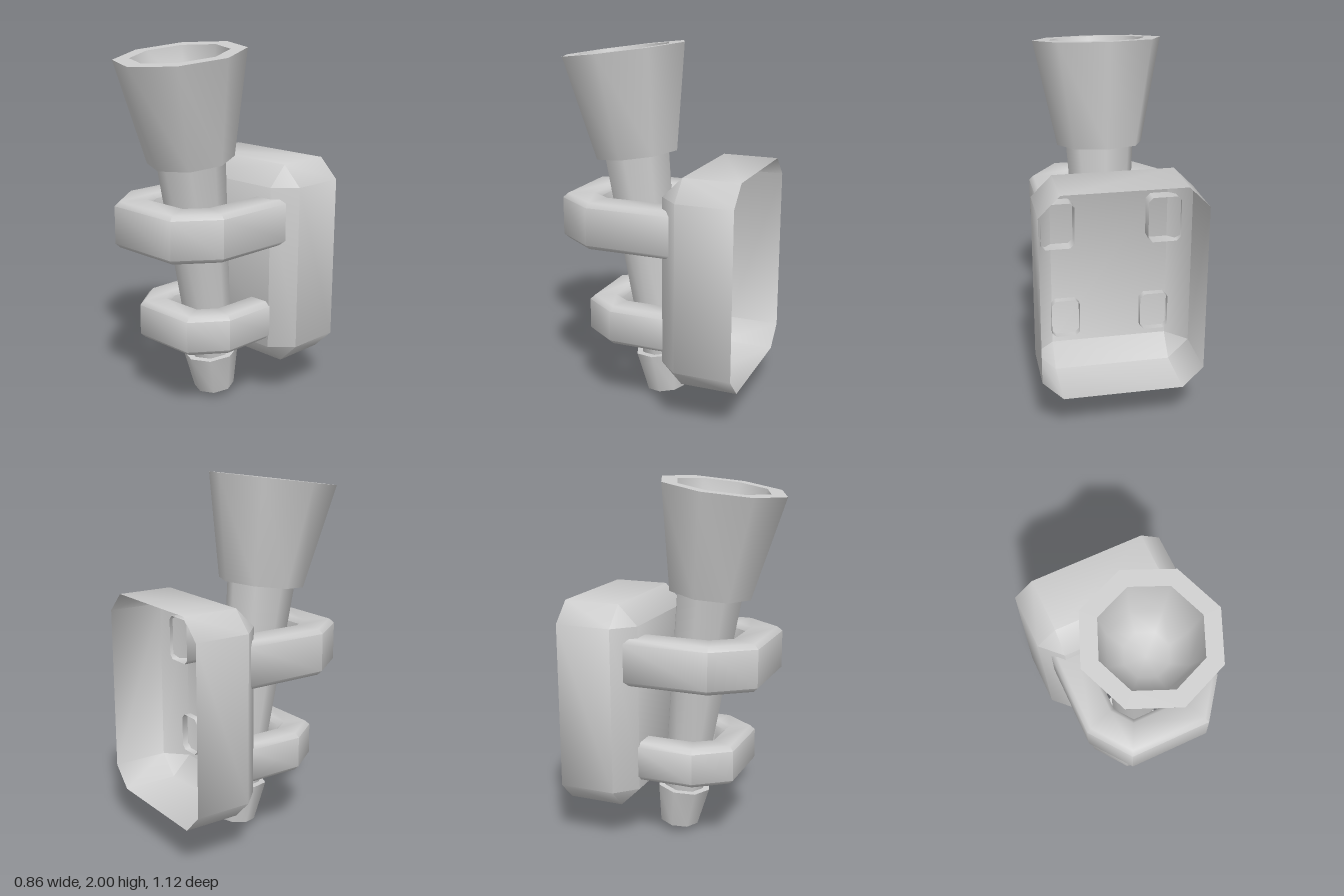
import * as THREE from 'three';
import { toCreasedNormals } from 'three/addons/utils/BufferGeometryUtils.js';

const material = new THREE.MeshStandardMaterial({ color: 0xcccccc, side: THREE.DoubleSide });

function part(name, geometry) {
  const mesh = new THREE.Mesh(toCreasedNormals(geometry, 0.95), material);
  mesh.name = name;
  return mesh;
}

// Skin between closed rings of equal point count; optionally cap the last ring.
function loft(rings, capEnd = false) {
  const n = rings[0].length, index = [];
  for (let i = 0; i < rings.length - 1; i++) {
    for (let j = 0; j < n; j++) {
      const a = i * n + j, b = i * n + (j + 1) % n;
      index.push(a, b, b + n, a, b + n, a + n);
    }
  }
  const last = (rings.length - 1) * n;
  if (capEnd) for (let j = 1; j < n - 1; j++) index.push(last, last + j, last + j + 1);
  const geometry = new THREE.BufferGeometry();
  geometry.setAttribute('position', new THREE.Float32BufferAttribute(rings.flat(2), 3));
  geometry.setIndex(index);
  return geometry;
}

// Eight-sided turned shape from [radius, height] pairs.
function turned(name, profile) {
  return part(name, new THREE.LatheGeometry(profile.map(p => new THREE.Vector2(...p)), 8));
}

// Wall plate: hollow box open at the back, every other edge bevelled.
function wallPlate() {
  const hx = 0.32, hy = 0.455, cy = 0.795, bevel = 0.11;
  const ring = (z, c) => [
    [hx + c, cy - hy, z], [hx + c, cy + hy, z], [hx, cy + hy + c, z], [-hx, cy + hy + c, z],
    [-hx - c, cy + hy, z], [-hx - c, cy - hy, z], [-hx, cy - hy - c, z], [hx, cy - hy - c, z],
  ];
  return part('wallPlate', loft([ring(-0.56, bevel), ring(-0.25, bevel), ring(-0.14, 0)], true));
}

// U-shaped holder: bevelled section swept round two mitred corners per side.
function bracket(name, { y, h, w, d, back, cornerZ, frontX, frontZ }) {
  const c = 0.024;
  const section = [
    [0, -h + c], [0, h - c], [c, h], [d - c, h],
    [d, h - c], [d, -h + c], [d - c, -h], [c, -h],
  ];
  // outer x, outer z, inward mitre x, inward mitre z
  const half = [[w, back, 1, 0], [w, cornerZ, 1, 0.33], [frontX, frontZ, 0.5, 1]];
  const path = [...half, ...half.map(([x, z, mx, mz]) => [-x, z, -mx, mz]).reverse()];
  return part(name, loft(path.map(([x, z, mx, mz]) =>
    section.map(([s, v]) => [x - mx * s, y + v, z - mz * s]))));
}

export function createModel() {
  const model = new THREE.Group();
  model.name = 'wallTorch';
  model.add(wallPlate());
  model.add(bracket('upperBracket', {
    y: 1.06, h: 0.127, w: 0.38, d: 0.18, back: -0.22, cornerZ: 0.27, frontX: 0.22, frontZ: 0.487,
  }));
  model.add(bracket('lowerBracket', {
    y: 0.497, h: 0.108, w: 0.325, d: 0.155, back: -0.18, cornerZ: 0.165, frontX: 0.19, frontZ: 0.35,
  }));

  // Torch leaning forward out of the brackets
  const torch = new THREE.Group();
  torch.name = 'torch';
  torch.add(turned('tip', [[0, 0], [0.113, 0.045], [0.154, 0.27], [0, 0.27]]));
  torch.add(turned('handle', [[0.117, 0.26], [0.187, 1.42]]));
  torch.add(turned('cup', [
    [0, 1.405], [0.234, 1.405], [0.348, 1.968], [0.26, 1.968], [0.21, 1.75], [0.12, 1.65], [0, 1.62],
  ]));
  torch.position.set(0, 0.004, -0.043);
  torch.rotation.x = THREE.MathUtils.degToRad(7.45);
  model.add(torch);
  return model;
}
